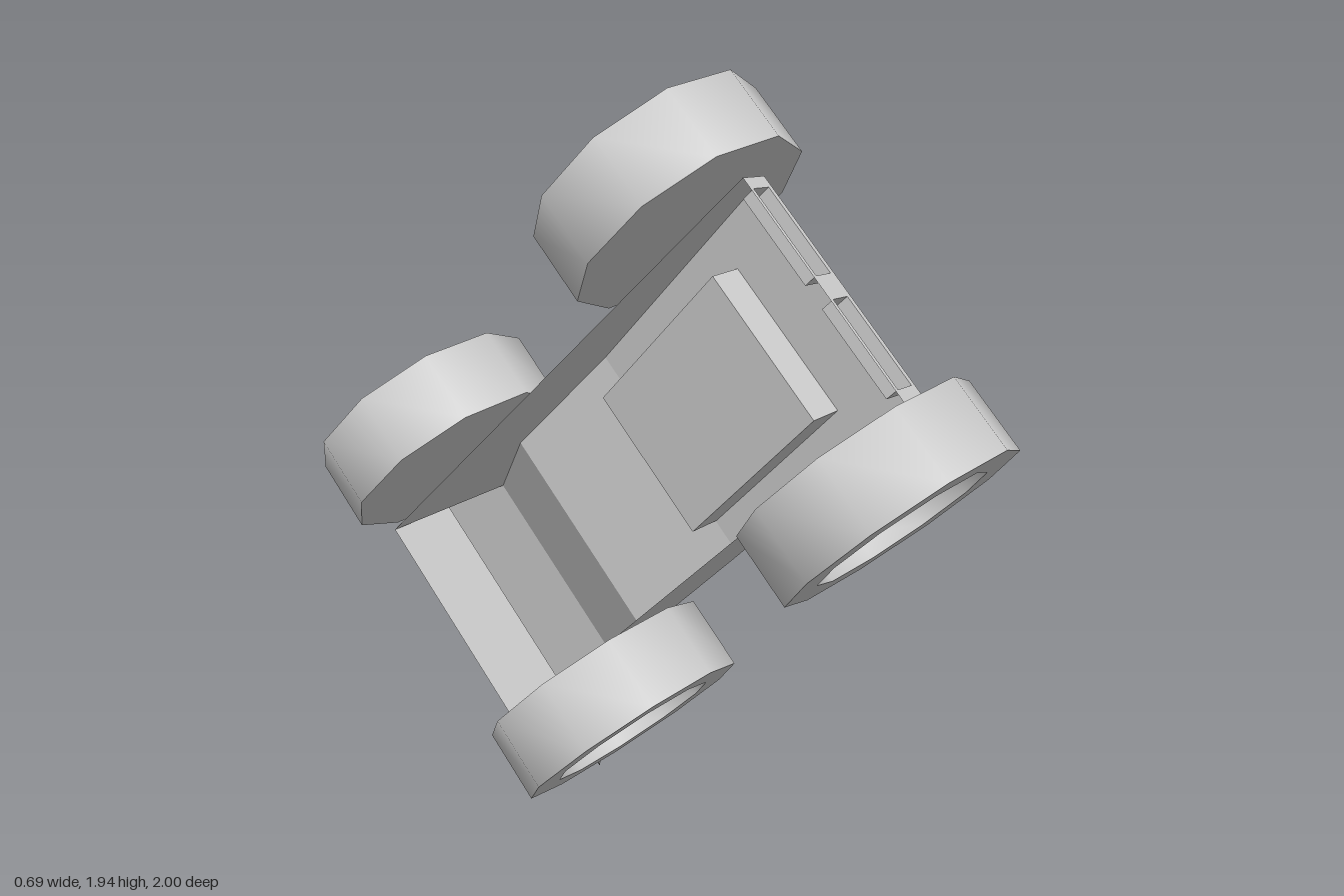
import * as THREE from 'three';
import { toCreasedNormals } from 'three/addons/utils/BufferGeometryUtils.js';

const material = new THREE.MeshStandardMaterial({ color: 0xcccccc });
const shellMaterial = new THREE.MeshStandardMaterial({ color: 0xcccccc, flatShading: true, side: THREE.DoubleSide });

// Vehicle coordinates: l = along the vehicle towards the blade, w = across, h = height
const P = (l, w, h) => new THREE.Vector3(h, w, -l);

// Mesh from convex polygons, each split into a fan of triangles
function polygonMesh(name, polygons) {
  const points = [];
  for (const p of polygons) {
    for (let i = 1; i < p.length - 1; i++) points.push(p[0], p[i], p[i + 1]);
  }
  const geometry = new THREE.BufferGeometry().setFromPoints(points);
  geometry.computeVertexNormals();
  const mesh = new THREE.Mesh(geometry, shellMaterial);
  mesh.name = name;
  return mesh;
}

// Four-sided panel with a four-sided recess sunk along the vector "depth"
function recessedPanel(outer, inner, depth) {
  const floor = inner.map((p) => p.clone().add(depth));
  const faces = [floor];
  for (let i = 0; i < 4; i++) {
    const j = (i + 1) % 4;
    faces.push([outer[i], outer[j], inner[j], inner[i]]);
    faces.push([inner[i], inner[j], floor[j], floor[i]]);
  }
  return faces;
}

// Rectangle from ranges of l and w, with the height given by a function of l
const deckRect = (l0, l1, w, height) => [
  P(l0, -w, height(l0)), P(l1, -w, height(l1)), P(l1, w, height(l1)), P(l0, w, height(l0)),
];
const endRect = (l, w0, w1, h0, h1) => [P(l, w0, h0), P(l, w0, h1), P(l, w1, h1), P(l, w1, h0)];

const HALF = 0.303, BASE = -0.09, END = -0.753;
// Top profile of the body as [l, h]
const deck = [[END, 0], [-0.045, 0.12], [0.345, 0.13], [0.612, 0.29]];
const NOSE = 0.695;

function createBody() {
  const body = new THREE.Group();
  body.name = 'body';

  // Sloping hood with a sunken rectangle
  const slope = 0.12 / 0.708;
  const hoodHeight = (l) => (l - END) * slope;
  body.add(polygonMesh('hood', recessedPanel(
    deckRect(END, -0.045, HALF, hoodHeight),
    deckRect(-0.546, -0.047, 0.202, hoodHeight),
    P(slope, 0, -1).setLength(0.09),
  )));

  // Remaining deck panels
  const panels = [];
  for (let i = 1; i < 3; i++) {
    const [[l0, h0], [l1, h1]] = [deck[i], deck[i + 1]];
    panels.push([P(l0, -HALF, h0), P(l1, -HALF, h1), P(l1, HALF, h1), P(l0, HALF, h0)]);
  }
  body.add(polygonMesh('deck', panels));

  // Side walls; the underside stays open
  for (const s of [1, -1]) {
    const faces = [];
    for (let i = 0; i < 3; i++) {
      const [[l0, h0], [l1, h1]] = [deck[i], deck[i + 1]];
      const lowEnd = i === 2 ? NOSE : l1;
      const face = [P(l0, s * HALF, BASE), P(lowEnd, s * HALF, BASE), P(l1, s * HALF, h1), P(l0, s * HALF, h0)];
      faces.push(s > 0 ? face : face.reverse());
    }
    body.add(polygonMesh('sideWall', faces));
  }

  // End wall with two sunken slots
  const slots = [];
  for (const [w0, w1, a, b] of [[0, HALF, 0.032, 0.272], [-HALF, 0, -0.272, -0.032]]) {
    slots.push(...recessedPanel(
      endRect(END, w0, w1, BASE, 0),
      endRect(END, a, b, -0.078, -0.014),
      P(0.035, 0, 0),
    ));
  }
  body.add(polygonMesh('endWall', slots));
  return body;
}

// Flared blade: top sheet, raked underside, nose panel and side gussets
function createBlade() {
  const root = (s) => P(0.612, s * HALF, 0.29);
  const tip = (s) => P(0.921, s * 0.494, 0.34);
  const heel = (s) => P(NOSE, s * 0.397, 0.14);
  const foot = (s) => P(NOSE, s * HALF, BASE);
  const faces = [
    [root(-1), tip(-1), tip(1), root(1)],
    [tip(-1), heel(-1), heel(1), tip(1)],
    [heel(-1), foot(-1), foot(1), heel(1)],
  ];
  for (const s of [1, -1]) {
    const sides = [[root(s), heel(s), tip(s)], [root(s), foot(s), heel(s)]];
    faces.push(...(s > 0 ? sides : sides.map((f) => f.reverse())));
  }
  return polygonMesh('blade', faces);
}

// Ten-sided wheel with a sunken hub on its outer face
function wheelGeometry() {
  const half = 0.0935, radius = 0.305, hub = 0.22, floor = half - 0.07;
  const profile = [[0, -half], [radius, -half], [radius, half], [hub, half], [hub, floor], [0, floor]];
  const lathe = new THREE.LatheGeometry(profile.map(([r, y]) => new THREE.Vector2(r, y)), 10);
  return toCreasedNormals(lathe, 0.7);
}

export function createModel() {
  const model = new THREE.Group();
  model.name = 'vehicle';

  // The whole vehicle lies on its side, nose down
  const vehicle = new THREE.Group();
  vehicle.name = 'tiltedVehicle';
  vehicle.rotation.x = -0.731;
  vehicle.position.set(0, 0.984, 0.015);
  vehicle.add(createBody(), createBlade());

  const geometry = wheelGeometry();
  for (const l of [-0.56, 0.395]) {
    for (const s of [1, -1]) {
      const wheel = new THREE.Mesh(geometry, material);
      wheel.name = l < 0 ? 'endWheel' : 'bladeWheel';
      wheel.position.copy(P(l, s * 0.416, -0.06));
      if (s < 0) wheel.rotation.z = Math.PI;
      vehicle.add(wheel);
    }
  }

  model.add(vehicle);
  return model;
}
